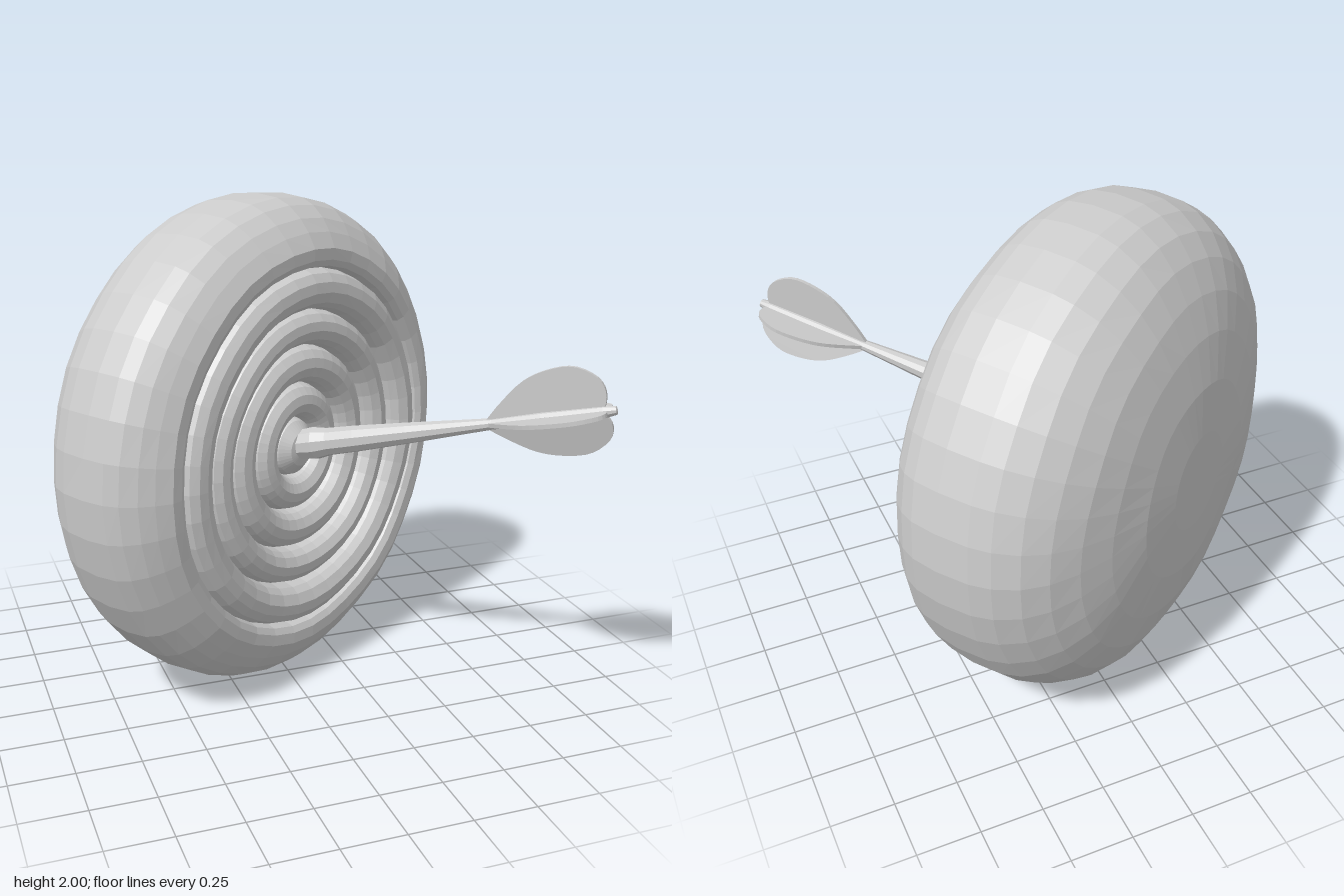
import * as THREE from 'three';

const grey = new THREE.MeshStandardMaterial({ color: 0xcccccc, flatShading: true });
const finGrey = new THREE.MeshStandardMaterial({ color: 0xcccccc, flatShading: true, side: THREE.DoubleSide });

function addMesh(parent, name, geometry, material = grey) {
  const mesh = new THREE.Mesh(geometry, material);
  mesh.name = name;
  parent.add(mesh);
  return mesh;
}

// Superellipse depth of the cushion at radius r
const bulge = (r, depth, power) => depth * Math.pow(1 - Math.pow(r, power), 1 / power);
const EQUATOR = 0.05; // widest part lies a little towards the front

// Half profile from back centre, round the rim, to the ringed front
function boardProfile() {
  const points = [];
  for (const r of [0, 0.2, 0.4, 0.58, 0.72, 0.83, 0.91, 0.965, 0.99]) points.push([r, EQUATOR - bulge(r, 0.5, 2.6)]);
  points.push([1, EQUATOR]);
  for (const r of [0.99, 0.965, 0.92, 0.87, 0.81]) points.push([r, EQUATOR + bulge(r, 0.39, 2.7)]);
  points.push([0.765, 0.335], [0.74, 0.32]);
  // Rounded ridges between grooves, stepping inwards to a shallow dish
  const grooves = [0.73, 0.565, 0.42, 0.265, 0.12];
  const crests = [0.35, 0.325, 0.305, 0.285];
  crests.forEach((top, i) => {
    const outer = grooves[i], width = outer - grooves[i + 1];
    points.push([outer, top - 0.07]);
    for (const [t, drop] of [[0.1, 0.028], [0.3, 0.005], [0.55, 0], [0.8, 0.018], [0.93, 0.045]]) {
      points.push([outer - t * width, top - drop]);
    }
  });
  points.push([0.12, 0.21], [0.11, 0.24], [0.07, 0.275], [0, 0.29]);
  return points.map(([r, n]) => new THREE.Vector2(r, n));
}

function createBoard() {
  const board = new THREE.Group();
  board.name = 'targetBoard';
  const geometry = new THREE.LatheGeometry(boardProfile(), 40);
  geometry.rotateX(Math.PI / 2);
  // Slightly oval, a little thicker on one side, with hand-modelled unevenness
  const p = geometry.attributes.position;
  for (let i = 0; i < p.count; i++) {
    const x = p.getX(i), y = p.getY(i), z = p.getZ(i);
    p.setX(i, 0.965 * x);
    p.setZ(i, z * (1 + 0.08 * x) + 0.005 * Math.sin(9 * x + 2) * Math.cos(8 * y));
  }
  geometry.computeVertexNormals();
  addMesh(board, 'ringedCushion', geometry);
  board.position.set(-0.095, 1.005, -0.205);
  board.rotation.y = THREE.MathUtils.degToRad(31.5);
  return board;
}

function createDart() {
  const dart = new THREE.Group();
  dart.name = 'dart';

  // Barrel tapering to a thin neck, then a stem through the fins
  const profile = [[0, -0.06], [0.06, -0.05], [0.066, 0.02], [0.056, 0.08], [0.053, 0.2], [0.042, 0.42],
    [0.03, 0.62], [0.022, 0.76], [0.027, 0.95], [0.024, 1.18], [0.016, 1.225], [0, 1.23]];
  const shaft = new THREE.LatheGeometry(profile.map(([r, s]) => new THREE.Vector2(r, s)), 10);
  addMesh(dart, 'shaft', shaft.rotateX(Math.PI / 2));

  // Rounded fin; outline x runs along the shaft, y outwards
  const outline = new THREE.Shape();
  outline.moveTo(0.72, 0);
  outline.splineThru([[0.8, 0.07], [0.9, 0.14], [1.0, 0.17], [1.1, 0.17], [1.18, 0.12], [1.2, 0.06], [1.18, 0]]
    .map(([s, r]) => new THREE.Vector2(s, r)));
  const finGeometry = new THREE.ExtrudeGeometry(outline, { depth: 0.016, bevelEnabled: false, curveSegments: 3 });
  finGeometry.translate(0, 0, -0.008);
  finGeometry.rotateY(-Math.PI / 2);
  // Angle about the shaft and relative width of each fin
  for (const [angle, width] of [[0, 1.05], [Math.PI / 2, 0.78], [Math.PI + 0.25, 0.95], [-Math.PI / 2, 0.78]]) {
    const fin = addMesh(dart, 'fin', finGeometry, finGrey);
    fin.rotation.z = angle;
    fin.scale.y = width;
  }

  dart.position.set(0.085, 1.03, 0.05);
  dart.lookAt(0.93, 1.31, 0.865);
  return dart;
}

export function createModel() {
  const model = new THREE.Group();
  model.name = 'targetWithDart';
  model.add(createBoard(), createDart());
  return model;
}
